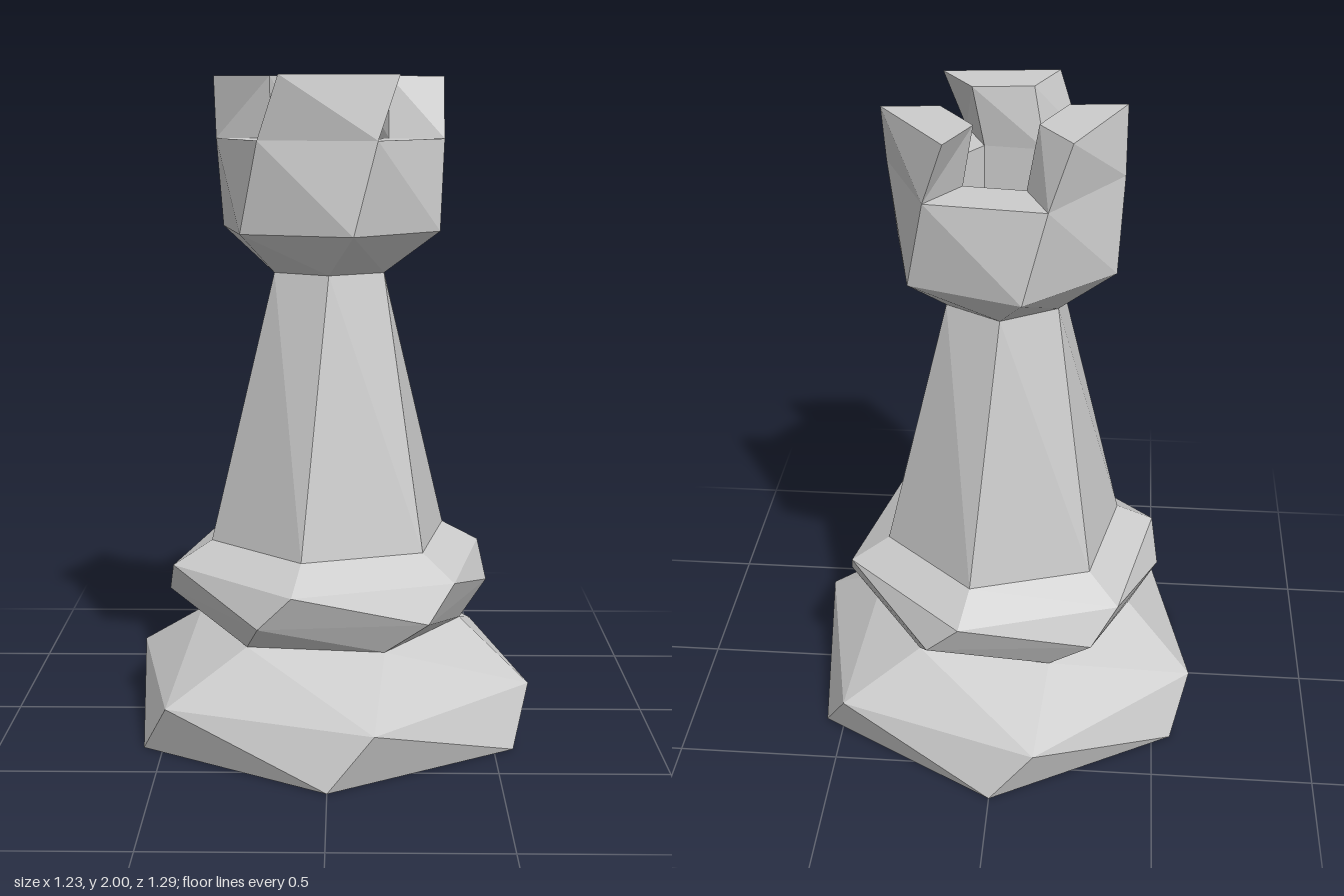
import * as THREE from 'three';

const SIDES = 6;
const material = new THREE.MeshStandardMaterial({ color: 0xcccccc, flatShading: true });

// A ring is [radius, height, rotation in degrees]; this gives its i-th corner.
function corner([r, y, rot], i) {
  const a = THREE.MathUtils.degToRad(rot + (i * 360) / SIDES);
  return new THREE.Vector3(r * Math.cos(a), y, r * Math.sin(a));
}

function addTriangle(out, a, b, c) {
  const normal = b.clone().sub(a).cross(c.clone().sub(a));
  if (normal.length() > 1e-7) out.push(a, b, c);
}

// Skin neighbouring rings for sides first..first + count - 1.
function addBands(out, rings, first = 0, count = SIDES) {
  for (let k = 0; k + 1 < rings.length; k++) {
    for (let i = first; i < first + count; i++) {
      const l0 = corner(rings[k], i), l1 = corner(rings[k], i + 1);
      const u0 = corner(rings[k + 1], i), u1 = corner(rings[k + 1], i + 1);
      addTriangle(out, l0, u0, u1);
      addTriangle(out, l0, u1, l1);
    }
  }
}

function makeMesh(name, points) {
  const geometry = new THREE.BufferGeometry().setFromPoints(points);
  geometry.computeVertexNormals();
  const mesh = new THREE.Mesh(geometry, material);
  mesh.name = name;
  return mesh;
}

function twistedPart(name, rings) {
  const points = [];
  addBands(points, rings);
  return makeMesh(name, points);
}

// One battlement block standing on side i of the rim.
function battlement(i, rings) {
  const points = [];
  addBands(points, rings, i, 1);
  const [ob, ot, it, ib] = rings.map((ring) => corner(ring, i));
  addTriangle(points, ob, ib, it);
  addTriangle(points, ob, it, ot);
  const [ob1, ot1, it1, ib1] = rings.map((ring) => corner(ring, i + 1));
  addTriangle(points, ob1, ot1, it1);
  addTriangle(points, ob1, it1, ib1);
  return makeMesh('battlement', points);
}

export function createModel() {
  const model = new THREE.Group();
  model.name = 'chessRook';

  // Rings shared by neighbouring parts; each step twists by 12 degrees
  const waist = [0.412, 0.325, 6];
  const shaftFoot = [0.38, 0.595, -18];
  const neck = [0.19, 1.42, -30];
  const rimOuter = [0.347, 1.815, 6];
  const rimInner = [0.18, 1.815, 6];

  model.add(twistedPart('base', [[0, 0, 30], [0.645, 0, 30], [0.645, 0.165, 18], waist]));
  model.add(twistedPart('collar', [waist, [0.503, 0.42, -6], [0.503, 0.525, -18], shaftFoot]));
  model.add(twistedPart('shaft', [shaftFoot, neck]));

  // Head with a sunken hexagonal well inside its rim
  const neckTop = [0.19, 1.42, 30];
  model.add(twistedPart('head', [
    neckTop, [0.348, 1.545, 18], rimOuter, rimInner, [0.18, 1.64, 6], [0, 1.64, 6],
  ]));

  // Battlements on every other side of the rim
  const battlements = new THREE.Group();
  battlements.name = 'battlements';
  for (const i of [1, 3, 5]) {
    battlements.add(battlement(i, [rimOuter, [0.347, 2, -6], [0.18, 2, -6], rimInner]));
  }
  model.add(battlements);
  return model;
}
